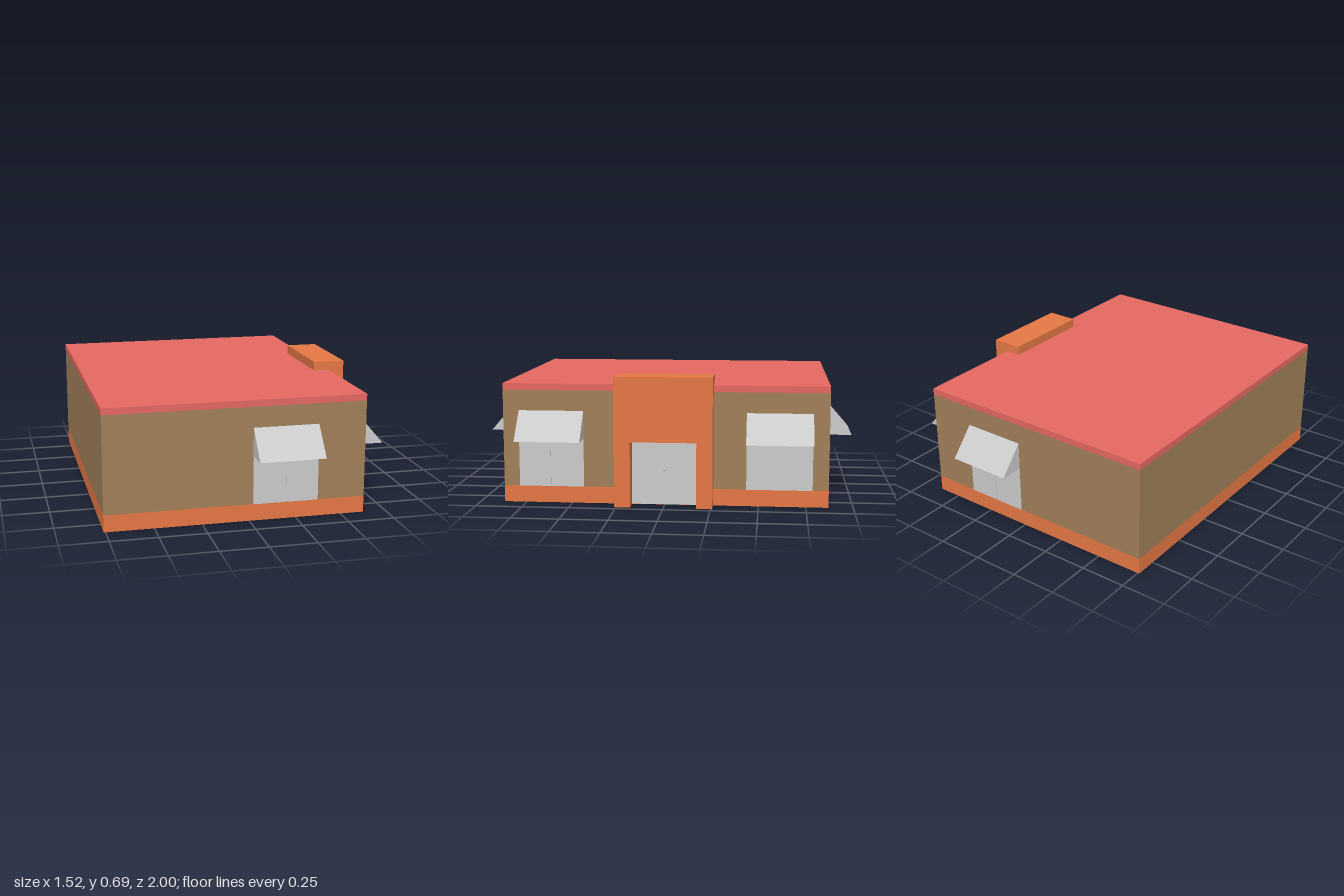
import * as THREE from 'three';

const paint = (color) => new THREE.MeshStandardMaterial({ color, flatShading: true });
const orange = paint(0xe57745);
const tan = paint(0xa07f59);
const red = paint(0xe56761);
const grey = paint(0xcccccc);

// Box given by its minimum and maximum corners
function box(name, material, [x0, y0, z0], [x1, y1, z1]) {
  const mesh = new THREE.Mesh(new THREE.BoxGeometry(x1 - x0, y1 - y0, z1 - z0), material);
  mesh.position.set((x0 + x1) / 2, (y0 + y1) / 2, (z0 + z1) / 2);
  mesh.name = name;
  return mesh;
}

// Extrudes an outline of (outward, up) or (across, up) points, centred on its depth
function prism(points, depth) {
  const shape = new THREE.Shape(points.map(([x, y]) => new THREE.Vector2(x, y)));
  return new THREE.ExtrudeGeometry(shape, { depth, bevelEnabled: false }).translate(0, 0, -depth / 2);
}

// Two-pane window under a wedge awning; local +z points out of the wall
function awningWindow(name) {
  const group = new THREE.Group();
  group.name = name;
  const half = 0.175;
  group.add(
    box('leftPane', grey, [0.004, 0.09, -0.02], [half, 0.49, 0.004]),
    box('rightPane', grey, [-half, 0.09, -0.02], [-0.004, 0.49, 0.004]),
    box('paneJoint', grey, [-0.004, 0.09, -0.02], [0.004, 0.49, 0.001]),
  );
  const wedge = prism([[0, 0.35], [0.13, 0.35], [0, 0.5]], half * 2).rotateY(-Math.PI / 2);
  const awning = new THREE.Mesh(wedge, grey);
  awning.name = 'awning';
  group.add(awning);
  return group;
}

export function createModel() {
  const model = new THREE.Group();
  model.name = 'shop';
  const [left, right, depth] = [-0.76, 0.627, 0.87];

  // Stacked body: plinth, walls, flat roof
  const layer = (name, mat, y0, y1) => model.add(box(name, mat, [left, y0, -depth], [right, y1, depth]));
  layer('plinth', orange, 0, 0.09);
  layer('walls', tan, 0.09, 0.61);
  layer('roof', red, 0.61, 0.645);

  // Entrance portal with a doorway, and its parapet resting on the roof
  const outline = [[-0.26, 0], [-0.175, 0], [-0.175, 0.35], [0.175, 0.35],
    [0.175, 0], [0.26, 0], [0.26, 0.695], [-0.26, 0.695]];
  const portalDepth = 0.715 - right;
  const portal = new THREE.Mesh(prism(outline, portalDepth).rotateY(Math.PI / 2), orange);
  portal.position.x = right + portalDepth / 2;
  portal.name = 'entrancePortal';
  model.add(portal, box('parapet', orange, [0.54, 0.645, -0.26], [right, 0.695, 0.26]));

  // Door with a small lock plate and knob
  model.add(
    box('door', grey, [right - 0.02, 0.002, -0.175], [right + 0.004, 0.35, 0.175]),
    box('lockPlate', grey, [right, 0.172, -0.005], [right + 0.007, 0.203, 0.005]),
  );
  const knob = new THREE.Mesh(new THREE.SphereGeometry(0.007, 12, 8), grey);
  knob.position.set(right + 0.012, 0.193, 0);
  knob.name = 'doorKnob';
  model.add(knob);

  // Windows: one on the front and back, two on the entrance side
  [['front', 0.195, depth, 0], ['back', 0.195, -depth, Math.PI],
    ['entranceFront', right, 0.61, Math.PI / 2], ['entranceBack', right, -0.61, Math.PI / 2],
  ].forEach(([name, x, z, turn]) => {
    const unit = awningWindow(name + 'Window');
    unit.position.set(x, 0, z);
    unit.rotation.y = turn;
    model.add(unit);
  });

  return model;
}
